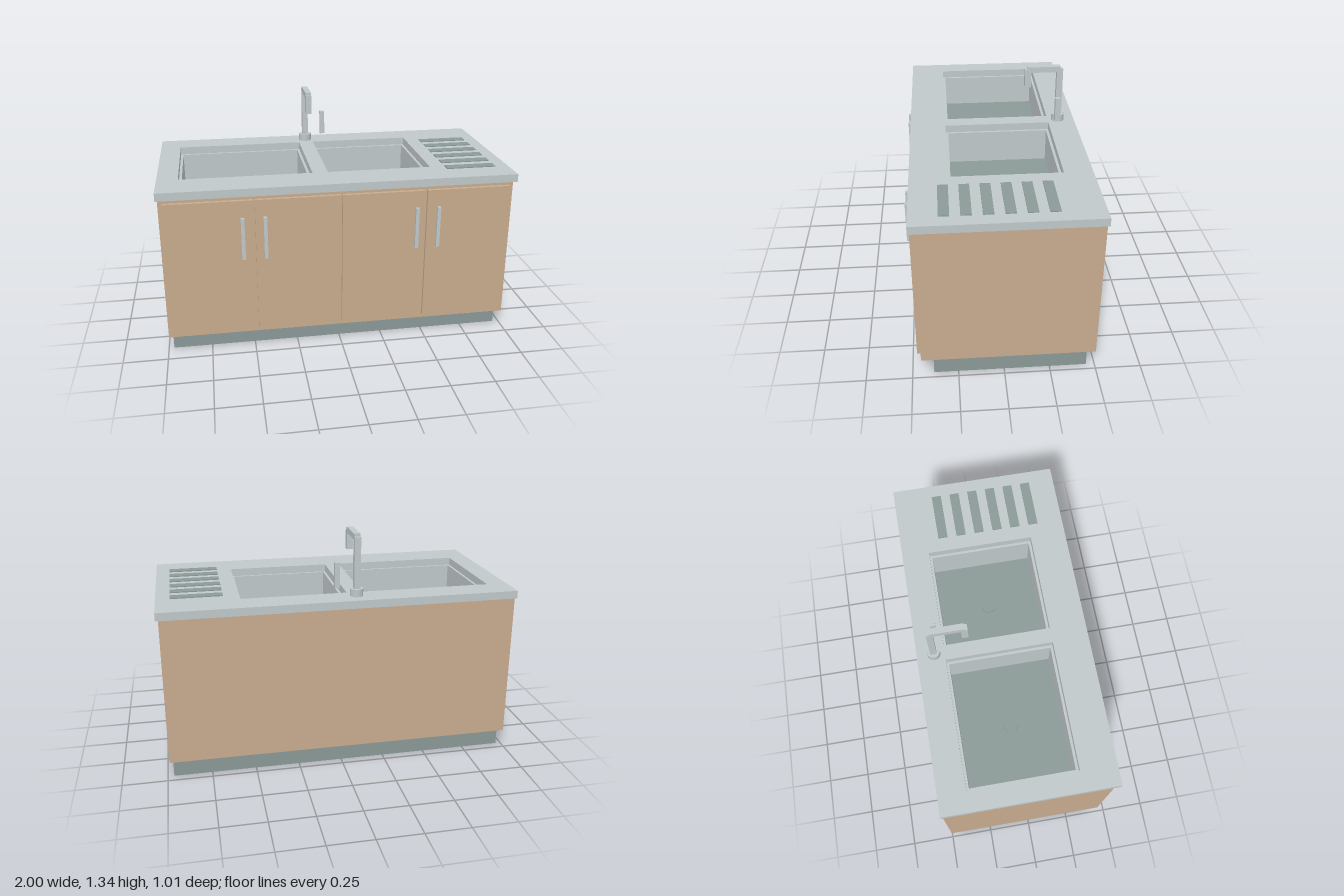
import * as THREE from 'three';

const steel = new THREE.MeshStandardMaterial({ color: 0xc0c8ca });
steel.name = 'brushedSteel';
const wood = new THREE.MeshStandardMaterial({ color: 0xc8ab8e });
wood.name = 'paleWood';
const grey = new THREE.MeshStandardMaterial({ color: 0x8b9997 });
grey.name = 'darkGrey';

// Box given by its extents on each axis
function box(parent, name, mat, [x0, x1], [y0, y1], [z0, z1]) {
  const mesh = new THREE.Mesh(new THREE.BoxGeometry(x1 - x0, y1 - y0, z1 - z0), mat);
  mesh.position.set((x0 + x1) / 2, (y0 + y1) / 2, (z0 + z1) / 2);
  mesh.name = name;
  parent.add(mesh);
  return mesh;
}

function cylinder(parent, name, mat, r, h, x, y, z, sides) {
  const mesh = new THREE.Mesh(new THREE.CylinderGeometry(r, r, h, sides), mat);
  mesh.position.set(x, y + h / 2, z);
  mesh.name = name;
  parent.add(mesh);
}

// Horizontal slab with rectangular holes; rectangles are [x0, x1, z0, z1]
function slab(parent, name, mat, outer, holes, y0, y1) {
  const corners = ([x0, x1, z0, z1]) =>
    [[x0, -z1], [x1, -z1], [x1, -z0], [x0, -z0]].map(p => new THREE.Vector2(...p));
  const shape = new THREE.Shape(corners(outer));
  holes.forEach(h => shape.holes.push(new THREE.Path(corners(h).reverse())));
  const geo = new THREE.ExtrudeGeometry(shape, { depth: y1 - y0, bevelEnabled: false });
  geo.rotateX(-Math.PI / 2);
  const mesh = new THREE.Mesh(geo, mat);
  mesh.position.y = y0;
  mesh.name = name;
  parent.add(mesh);
}

export function createModel() {
  const model = new THREE.Group();
  model.name = 'kitchenSinkUnit';

  // Plinth
  box(model, 'plinth', grey, [-0.97, 0.965], [0, 0.11], [-0.453, 0.383]);

  // Hollow cabinet carcass, open at the top for the bowls
  const cabinet = new THREE.Group();
  cabinet.name = 'cabinet';
  model.add(cabinet);
  const X = [-0.99, 0.985], Y = [0.11, 0.945], Z = [-0.498, 0.45], t = 0.02;
  slab(cabinet, 'carcassWalls', wood, [...X, ...Z],
    [[X[0] + t, X[1] - t, Z[0] + t, Z[1] - t]], ...Y);
  box(cabinet, 'carcassFloor', wood, [X[0] + t, X[1] - t], [0.11, 0.13], [Z[0] + t, Z[1] - t]);

  // Doors
  [[-0.965, -0.488], [-0.478, -0.008], [0.003, 0.473], [0.484, 0.96]].forEach(x =>
    box(model, 'door', wood, x, [0.138, 0.92], [0.45, 0.47]));

  // Bar handles, standing clear of the doors
  [-0.548, -0.425, 0.42, 0.543].forEach(x =>
    box(model, 'doorHandle', steel, [x - 0.01, x + 0.01], [0.59, 0.83], [0.49, 0.507]));

  // Worktop with two openings
  const bowls = [[-0.882, -0.136, -0.348, 0.27], [-0.048, 0.548, -0.348, 0.27]];
  slab(model, 'worktop', steel, [-1, 1, -0.507, 0.478], bowls, 0.945, 0.99);

  // Bowls: a ledge just inside each opening, then straight walls and a floor
  const ledge = 0.015, floorY = 0.75;
  bowls.forEach(([x0, x1, z0, z1]) => {
    const bowl = new THREE.Group();
    bowl.name = 'bowl';
    model.add(bowl);
    slab(bowl, 'bowlWalls', steel, [x0 - 0.01, x1 + 0.01, z0 - 0.01, z1 + 0.01],
      [[x0 + ledge, x1 - ledge, z0 + ledge, z1 - ledge]], floorY - 0.02, 0.945);
    box(bowl, 'bowlFloor', grey, [x0 + ledge, x1 - ledge], [floorY - 0.02, floorY],
      [z0 + ledge, z1 - ledge]);
    cylinder(bowl, 'drain', grey, 0.045, 0.008, (x0 + x1) / 2, floorY, (z0 + z1) / 2, 16);
  });

  // Draining strips
  for (let i = 0; i < 6; i++) {
    const z = -0.25 + i * 0.11;
    box(model, 'drainingStrip', grey, [0.634, 0.922], [0.988, 0.995], [z - 0.028, z + 0.028]);
  }

  // Tap: round base, square column, arm, spout and separate lever
  const tap = new THREE.Group();
  tap.name = 'tap';
  model.add(tap);
  const w = [-0.108, -0.073];
  cylinder(tap, 'tapBase', steel, 0.038, 0.042, -0.09, 0.99, -0.409, 12);
  box(tap, 'tapColumn', steel, w, [1.03, 1.32], [-0.427, -0.391]);
  box(tap, 'tapArm', steel, w, [1.302, 1.336], [-0.41, -0.22]);
  box(tap, 'tapSpout', steel, w, [1.21, 1.32], [-0.239, -0.203]);
  box(tap, 'tapLever', steel, [0.003, 0.031], [1.036, 1.178], [-0.401, -0.373]);

  return model;
}
